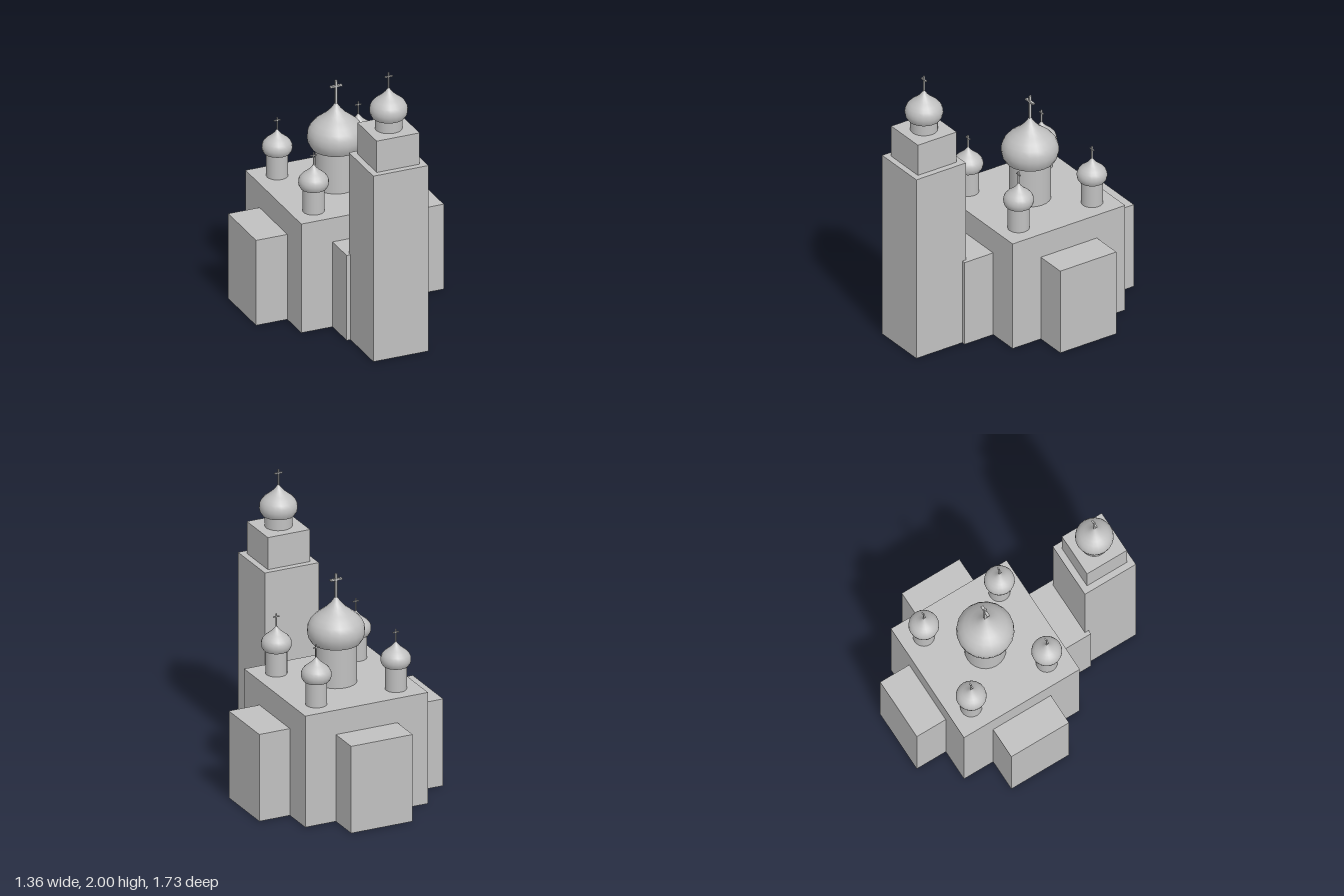
import * as THREE from 'three';

export function createModel() {
  const group = new THREE.Group();
  group.name = 'church';
  const stone = new THREE.MeshStandardMaterial({ color: 0xc0c0c0 });
  stone.name = 'pale grey';

  const add = (parent, name, geometry, x, y, z) => {
    const mesh = new THREE.Mesh(geometry, stone);
    mesh.name = name;
    mesh.position.set(x, y, z);
    parent.add(mesh);
    return mesh;
  };

  // Box given by its half width, height range and depth range
  const block = (name, halfWidth, y0, y1, z0, z1) =>
    add(group, name, new THREE.BoxGeometry(halfWidth * 2, y1 - y0, z1 - z0),
      0, (y0 + y1) / 2, (z0 + z1) / 2);

  // Walls
  block('mainHall', 0.455, 0, 0.8, -0.64, 0.267);
  block('sideWings', 0.682, 0, 0.625, -0.412, 0.04);
  block('naveAndApse', 0.228, 0, 0.625, -0.867, 0.497);
  block('bellTower', 0.2, 0, 1.365, 0.468, 0.867);
  block('belfry', 0.156, 1.365, 1.595, 0.512, 0.824);

  // Onion outline for the largest dome; smaller ones are scaled copies
  const onion = [
    [0.165, 0], [0.186, 0.035], [0.194, 0.075], [0.19, 0.115], [0.173, 0.152],
    [0.145, 0.184], [0.108, 0.213], [0.07, 0.243], [0.037, 0.277], [0.014, 0.31], [0, 0.333],
  ].map(([r, y]) => new THREE.Vector2(r, y));

  function cupola(name, x, z, baseY, drumRadius, drumHeight, scale) {
    const tower = new THREE.Group();
    tower.name = name;
    tower.position.set(x, baseY, z);
    group.add(tower);
    add(tower, 'drum', new THREE.CylinderGeometry(drumRadius, drumRadius, drumHeight, 24),
      0, drumHeight / 2, 0);

    const top = new THREE.Group();
    top.name = 'domeAndCross';
    top.position.y = drumHeight;
    top.scale.setScalar(scale);
    tower.add(top);
    add(top, 'dome', new THREE.LatheGeometry(onion, 20), 0, 0, 0);
    add(top, 'domeUnderside', new THREE.CircleGeometry(0.165, 20).rotateX(Math.PI / 2), 0, 0, 0);
    // Cross: upright post and one bar
    add(top, 'crossPost', new THREE.BoxGeometry(0.012, 0.17, 0.018), 0, 0.4, 0);
    add(top, 'crossBar', new THREE.BoxGeometry(0.085, 0.012, 0.018), 0, 0.443, 0);
  }

  cupola('centralCupola', 0, -0.187, 0.8, 0.14, 0.285, 1);
  cupola('towerCupola', 0, 0.668, 1.595, 0.092, 0.083, 0.664);
  for (const x of [-0.295, 0.295])
    for (const z of [-0.483, 0.109])
      cupola('cornerCupola', x, z, 0.8, 0.073, 0.17, 0.53);

  return group;
}
